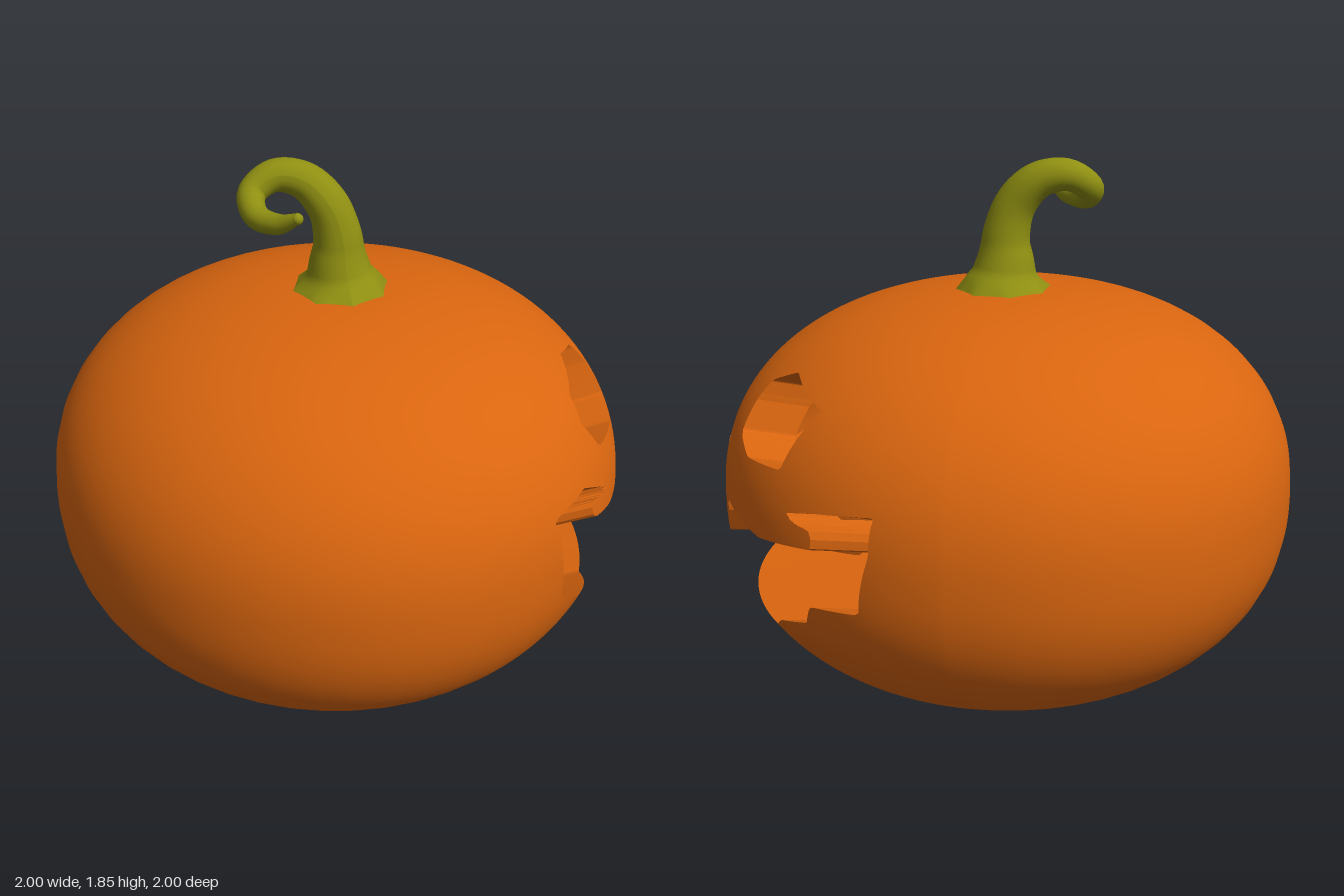
import * as THREE from 'three';
import { mergeVertices } from 'three/addons/utils/BufferGeometryUtils.js';

const mat = (name, color, side = THREE.FrontSide) => {
  const m = new THREE.MeshStandardMaterial({ color, side });
  m.name = name;
  return m;
};

// Carved openings as [z, y] outlines; the face looks along +x
const MOUTH = [
  [0.84, 0.925], [0.725, 0.95], [0.59, 0.845], [0.72, 0.885], [0.72, 0.82], [0.59, 0.775],
  [0.33, 0.755], [0.2, 0.765], [0.2, 0.66], [0.145, 0.605], [0, 0.765], [-0.14, 0.605],
  [-0.2, 0.72], [-0.2, 0.76], [-0.5, 0.735], [-0.71, 0.775], [-0.71, 0.835], [-0.56, 0.845],
  [-0.7, 0.89], [-0.83, 0.92], [-0.845, 0.8], [-0.82, 0.6], [-0.69, 0.575], [-0.65, 0.5],
  [-0.5, 0.44], [-0.38, 0.365], [0.43, 0.365], [0.72, 0.5], [0.84, 0.62], [0.85, 0.8]];
const EYES_AND_NOSE = [
  [[0.57, 1.09], [0.49, 1.16], [0.3, 1.21], [0.17, 1.17], [0.18, 1.1], [0.22, 0.985], [0.37, 0.96], [0.57, 0.995]],
  [[-0.175, 1.16], [-0.27, 1.21], [-0.52, 1.155], [-0.54, 0.975], [-0.35, 0.955], [-0.22, 0.995], [-0.18, 1.1]],
  [[0.115, 0.9], [0.03, 1.025], [-0.055, 0.9]]];

// Signed distance to an outline, negative inside
function distance(poly, z, y) {
  let best = Infinity, inside = false;
  poly.forEach(([az, ay], i) => {
    const [bz, by] = poly[(i + 1) % poly.length];
    const dz = bz - az, dy = by - ay;
    const t = Math.min(1, Math.max(0, ((z - az) * dz + (y - ay) * dy) / (dz * dz + dy * dy)));
    best = Math.min(best, Math.hypot(z - az - t * dz, y - ay - t * dy));
    if ((ay > y) !== (by > y) && z < az + (y - ay) / dy * dz) inside = !inside;
  });
  return inside ? -best : best;
}
const DROP = 0.035, NARROW = 0.98; // cuts lean down and inward
const mouthField = (p) => distance(MOUTH, p.z, p.y);
const faceField = (p) => p.x < 0 ? 1
  : Math.min(mouthField(p), ...EYES_AND_NOSE.map((poly) => distance(poly, p.z, p.y)));
const cavityField = (p) => faceField(new THREE.Vector3(p.x, p.y + DROP, p.z / NARROW));

// Rounded, flattened shell
function shellPoint(theta, phi, scale) {
  const e = 2 / 2.3;
  const r = scale * Math.pow(Math.max(0, Math.cos(phi)), e);
  const y = 0.71 + scale * 0.705 * Math.sign(phi) * Math.pow(Math.abs(Math.sin(phi)), e);
  return new THREE.Vector3(r * Math.cos(theta), Math.max(0, y), r * Math.sin(theta));
}

const toGeometry = (points) => new THREE.BufferGeometry().setFromPoints(points);

// Grid of triangles trimmed where the field is negative; returns skin and cut edges
function carvedShell(scale, field, faceSteps, backSteps, rows, flip) {
  const limit = 1.25, thetas = [];
  for (let i = 0; i <= faceSteps; i++) thetas.push(-limit + 2 * limit * i / faceSteps);
  for (let i = 1; i <= backSteps; i++) thetas.push(limit + (2 * Math.PI - 2 * limit) * i / backSteps);
  const grid = thetas.map((t) => Array.from({ length: rows + 1 }, (_, j) => {
    const p = shellPoint(t, -Math.PI / 2 + Math.PI * j / rows, scale);
    return { p, f: field(p) };
  }));
  const skin = [], edges = [];
  const addTriangle = (tri) => {
    const kept = [], cut = [];
    tri.forEach((a, k) => {
      const b = tri[(k + 1) % 3];
      if (a.f > 0) kept.push(a.p);
      if ((a.f > 0) !== (b.f > 0)) {
        const c = a.p.clone().lerp(b.p, a.f / (a.f - b.f));
        kept.push(c);
        cut.push(c);
      }
    });
    for (let k = 1; k + 1 < kept.length; k++) {
      if (flip) skin.push(kept[0], kept[k + 1], kept[k]);
      else skin.push(kept[0], kept[k], kept[k + 1]);
    }
    if (cut.length === 2) edges.push(cut);
  };
  for (let i = 0; i + 1 < grid.length; i++) {
    for (let j = 0; j < rows; j++) {
      const a = grid[i][j], b = grid[i][j + 1], c = grid[i + 1][j + 1], d = grid[i + 1][j];
      if (j < rows - 1) addTriangle([a, b, c]);
      if (j > 0) addTriangle([a, c, d]);
    }
  }
  const geometry = mergeVertices(toGeometry(skin), 1e-5);
  geometry.computeVertexNormals();
  return { geometry, edges };
}

// Walls of the cuts, deep behind the mouth and shallow behind eyes and nose
function cutWalls(edges) {
  const inner = (p) => new THREE.Vector3(
    Math.abs(mouthField(p)) < 0.02 ? Math.min(p.x - 0.08, 0.42) : p.x - 0.17,
    p.y - DROP, p.z * NARROW);
  const points = [];
  for (const [a, b] of edges) {
    const c = inner(b), d = inner(a);
    points.push(a, b, c, a, c, d);
  }
  const geometry = toGeometry(points);
  geometry.computeVertexNormals();
  return geometry;
}

// Tapered curling stem with a ragged flared foot
function stemGeometry() {
  const path = new THREE.CatmullRomCurve3([
    [0.015, 1.375, 0], [0.015, 1.43, 0], [0.01, 1.5, 0], [0.005, 1.6, 0], [-0.025, 1.7, -0.01],
    [-0.095, 1.78, -0.04], [-0.19, 1.8, -0.06], [-0.27, 1.755, -0.04], [-0.275, 1.71, 0.04],
    [-0.225, 1.71, 0.13], [-0.175, 1.75, 0.2]].map((p) => new THREE.Vector3(...p)));
  const radii = [0.185, 0.11, 0.085, 0.075, 0.068, 0.06, 0.053, 0.047, 0.041, 0.034, 0.018];
  const steps = 60, sides = 24;
  const g = new THREE.TubeGeometry(path, steps, 1, sides);
  const pos = g.attributes.position, v = new THREE.Vector3();
  for (let i = 0; i <= steps; i++) {
    const u = i / steps, k = Math.min(9, Math.floor(u * 10));
    const r = THREE.MathUtils.lerp(radii[k], radii[k + 1], u * 10 - k);
    const center = path.getPointAt(u);
    for (let j = 0; j <= sides; j++) {
      const n = i * (sides + 1) + j;
      const ragged = 1 + 0.1 * Math.max(0, 1 - u * 12) * Math.cos(8 * j / sides * Math.PI * 2);
      v.fromBufferAttribute(pos, n).sub(center).multiplyScalar(r * ragged).add(center);
      pos.setXYZ(n, v.x, v.y, v.z);
    }
  }
  g.computeVertexNormals();
  return g;
}

export function createModel() {
  const model = new THREE.Group();
  const orange = mat('pumpkin orange', 0xd9650f, THREE.DoubleSide);
  const green = mat('stem green', 0x8f8f12);
  const cream = mat('candle wax', 0xcbb9a5);
  const add = (name, geometry, material, parent = model) => {
    const mesh = new THREE.Mesh(geometry, material);
    mesh.name = name;
    parent.add(mesh);
    return mesh;
  };

  // Hollow carved body
  const outer = carvedShell(1, faceField, 150, 30, 90, false);
  add('pumpkinSkin', outer.geometry, orange);
  add('carvedEdges', cutWalls(outer.edges), orange);
  add('pumpkinCavity', carvedShell(0.88, cavityField, 110, 24, 64, true).geometry, orange);

  // Stem and its rounded tip
  add('stem', stemGeometry(), green);
  add('stemTip', new THREE.SphereGeometry(0.019, 12, 8), green).position.set(-0.175, 1.75, 0.2);

  // Candle with wax drips and wick
  const candle = new THREE.Group();
  candle.name = 'candle';
  model.add(candle);
  const profile = [[0, 0.09], [0.13, 0.09], [0.13, 0.49], [0.122, 0.54], [0.1, 0.567], [0.06, 0.57], [0, 0.555]];
  add('candleBody', new THREE.LatheGeometry(profile.map((p) => new THREE.Vector2(...p)), 28), cream, candle);
  for (let i = 0; i < 9; i++) {
    const a = i / 9 * Math.PI * 2 + 0.25, length = 0.07 + 0.05 * ((i * 2) % 4);
    const drip = add('waxDrip', new THREE.CapsuleGeometry(0.022, length, 4, 10), cream, candle);
    drip.position.set(Math.cos(a) * 0.122, 0.535 - length / 2, Math.sin(a) * 0.122);
  }
  add('wick', new THREE.CylinderGeometry(0.005, 0.007, 0.12, 8), cream, candle).position.set(0, 0.605, -0.01);

  return model;
}
